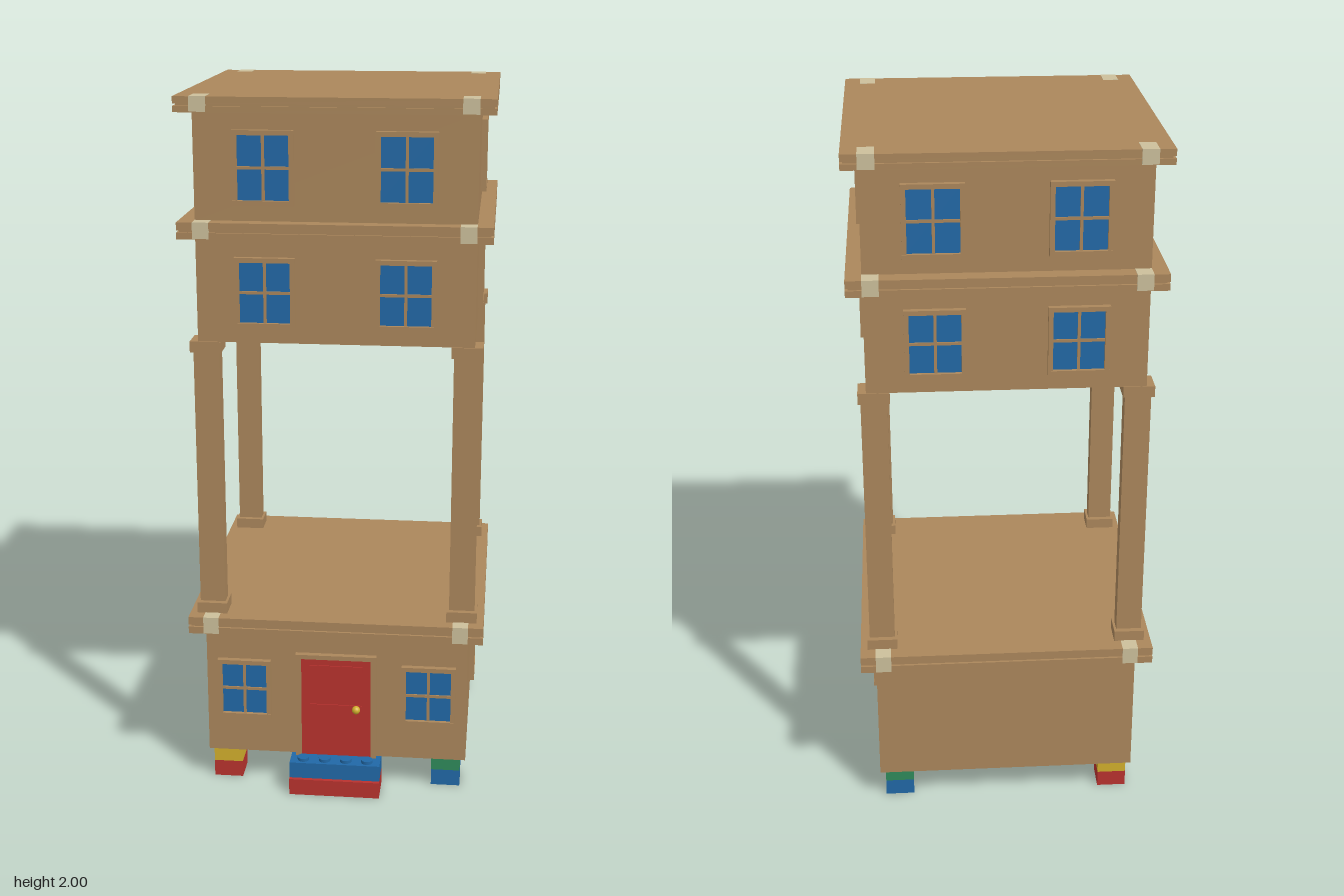
import * as THREE from 'three';

const mat = (name, color) => {
  const m = new THREE.MeshStandardMaterial({ color });
  m.name = name;
  return m;
};

export function createModel() {
  const tan = mat('tan wall', 0xaa865b);
  const beige = mat('beige clip', 0xcbbf9b);
  const blue = mat('blue', 0x2168a6);
  const red = mat('red', 0xb8322e);
  const green = mat('green', 0x2f8a5a);
  const yellow = mat('yellow', 0xd0ae2c);

  const model = new THREE.Group();
  model.name = 'house';
  const CZ = -0.013; // the walls sit slightly behind the origin

  // Box given by its low and high corner on each axis
  const box = (parent, name, material, x0, x1, y0, y1, z0, z1) => {
    const m = new THREE.Mesh(new THREE.BoxGeometry(x1 - x0, y1 - y0, z1 - z0), material);
    m.position.set((x0 + x1) / 2, (y0 + y1) / 2, (z0 + z1) / 2);
    m.name = name;
    parent.add(m);
    return m;
  };

  // Three storeys
  const floors = [
    ['groundFloor', 0.098, 0.485],
    ['middleFloor', 1.337, 1.627],
    ['topFloor', 1.668, 1.96],
  ];
  floors.forEach(([name, y0, y1]) => box(model, name, tan, -0.377, 0.377, y0, y1, -0.39, 0.365));

  // Cornices: two slabs with a narrow groove, and light clips near the corners
  const cornice = (name, y0, y1) => {
    const g = new THREE.Group();
    g.name = name;
    const mid = y0 + (y1 - y0) * 0.47;
    box(g, 'lowerSlab', tan, -0.42, 0.42, y0, mid - 0.003, -0.437, 0.406);
    box(g, 'grooveCore', tan, -0.413, 0.413, mid - 0.004, mid + 0.004, -0.43, 0.399);
    box(g, 'upperSlab', tan, -0.42, 0.42, mid + 0.003, y1, -0.437, 0.406);
    for (const s of [-1, 1]) {
      const x0 = s * 0.355 - 0.022, x1 = s * 0.355 + 0.022;
      box(g, 'frontClip', beige, x0, x1, y0 + 0.002, y1 + 0.001, 0.337, 0.408);
      box(g, 'backClip', beige, x0, x1, y0 + 0.002, y1 + 0.001, -0.439, -0.37);
    }
    model.add(g);
  };
  cornice('lowerCornice', 0.485, 0.535);
  cornice('middleCornice', 1.625, 1.67);
  cornice('roof', 1.958, 1.999);

  // Corner pillars with base and cap
  for (const sx of [-1, 1]) {
    for (const z of [0.333, -0.356]) {
      const g = new THREE.Group();
      g.name = 'pillar';
      const x = sx * 0.357;
      box(g, 'shaft', tan, x - 0.036, x + 0.036, 0.535, 1.337, z - 0.021, z + 0.021);
      for (const [n, a, b] of [['base', 0.535, 0.566], ['cap', 1.306, 1.337]]) {
        box(g, n, tan, x - 0.043, x + 0.043, a, b, z - 0.037, z + 0.037);
      }
      model.add(g);
    }
  }

  // Window facing +z in its own frame, wall plane at z = 0
  const makeWindow = (w, h) => {
    const g = new THREE.Group();
    g.name = 'window';
    const a = w / 2, b = h / 2, t = 0.013;
    box(g, 'glass', blue, -a + t, a - t, -b + t, b - t, 0, 0.005);
    for (const s of [-1, 1]) {
      const e = s * (a - t / 2), f = s * (b - t / 2);
      box(g, 'sideFrame', tan, e - t / 2, e + t / 2, -b, b, 0, 0.015);
      box(g, 'crossFrame', tan, -a, a, f - t / 2, f + t / 2, 0, 0.016);
    }
    box(g, 'mullion', tan, -0.004, 0.004, -b + t, b - t, 0, 0.009);
    box(g, 'transom', tan, -a + t, a - t, -0.004, 0.004, 0, 0.009);
    model.add(g);
    return g;
  };

  const levels = [[0.302, 0.182], [1.477, 0.192], [1.812, 0.198]];
  levels.forEach(([y, h], i) => {
    for (const s of [-1, 1]) {
      // One on each side wall
      const side = makeWindow(0.164, h);
      side.position.set(s * 0.377, y, CZ);
      side.rotation.y = s * Math.PI / 2;
      // Pairs on the front, and on the back above the ground floor
      makeWindow(i ? 0.164 : 0.155, h).position.set(s * (i ? 0.19 : 0.267), y, 0.365);
      if (i) {
        const back = makeWindow(0.164, h);
        back.position.set(s * 0.19, y, -0.39);
        back.rotation.y = Math.PI;
      }
    }
  });

  // Door with frame, raised panels and knob
  const door = new THREE.Group();
  door.name = 'door';
  box(door, 'leaf', red, -0.102, 0.102, 0.098, 0.41, 0.36, 0.372);
  box(door, 'lowerPanel', red, -0.076, 0.076, 0.13, 0.262, 0.37, 0.375);
  box(door, 'upperPanel', red, -0.076, 0.076, 0.27, 0.385, 0.37, 0.375);
  box(door, 'lintel', tan, -0.117, 0.117, 0.407, 0.42, 0.36, 0.382);
  for (const s of [-1, 1]) {
    box(door, 'jamb', tan, s * 0.109 - 0.008, s * 0.109 + 0.008, 0.098, 0.42, 0.36, 0.381);
  }
  const knob = new THREE.Mesh(new THREE.SphereGeometry(0.012, 16, 12), yellow);
  knob.name = 'knob';
  knob.position.set(0.059, 0.252, 0.381);
  door.add(knob);
  model.add(door);

  // Front steps, the upper one studded
  box(model, 'lowerStep', red, -0.131, 0.131, 0, 0.049, 0.335, 0.437);
  box(model, 'upperStep', blue, -0.131, 0.131, 0.049, 0.097, 0.335, 0.426);
  for (let i = 0; i < 4; i++) {
    const stud = new THREE.Mesh(new THREE.CylinderGeometry(0.017, 0.017, 0.01, 16), blue);
    stud.name = 'stepStud';
    stud.position.set(-0.093 + i * 0.062, 0.101, 0.402);
    model.add(stud);
  }

  // Two-block feet
  for (const [x, top, bottom] of [[-0.324, yellow, red], [0.319, green, blue]]) {
    for (const z of [x < 0 ? 0.305 : 0.297, -0.323]) {
      box(model, 'footBottom', bottom, x - 0.042, x + 0.042, 0, 0.049, z - 0.042, z + 0.042);
      box(model, 'footTop', top, x - 0.042, x + 0.042, 0.049, 0.099, z - 0.042, z + 0.042);
    }
  }
  return model;
}
